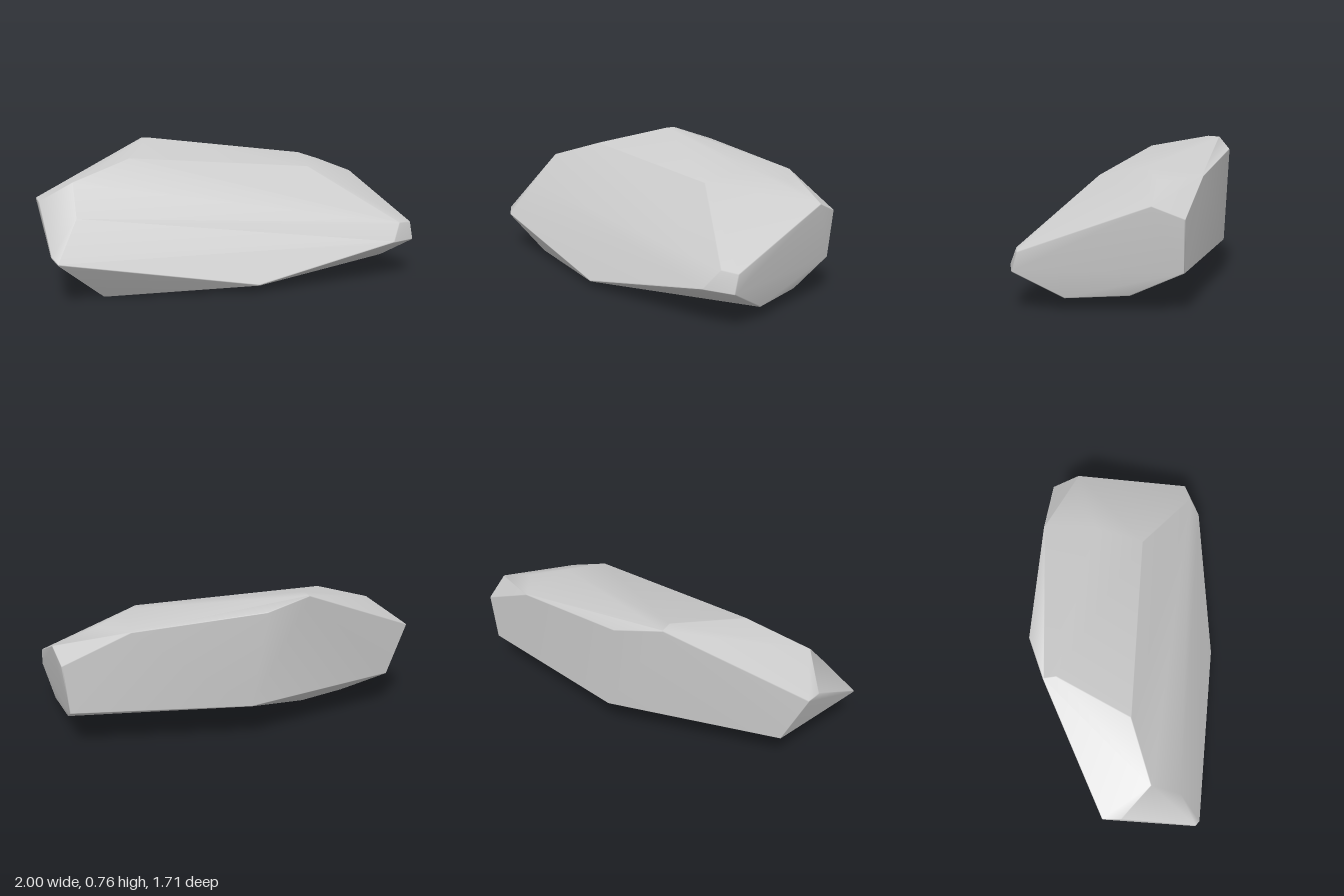
import * as THREE from 'three';
import { ConvexGeometry } from 'three/addons/geometries/ConvexGeometry.js';
import { mergeVertices } from 'three/addons/utils/BufferGeometryUtils.js';

// Corners of the boulder, grouped by region
const corners = [
  // top ridge and shoulders
  [-0.74, 0.575, 0.56], [-0.515, 0.68, 0.30], [-0.55, 0.76, -0.13], [-0.59, 0.755, -0.18],
  [0.31, 0.66, -0.44], [0.40, 0.605, -0.19], [0.41, 0.605, -0.63],
  // back wall
  [-0.43, 0.705, -0.38], [0.18, 0.625, -0.70], [0.49, 0.46, -0.855],
  [0.60, 0.52, -0.75], [0.47, 0.205, -0.837], [-0.36, 0.20, -0.405],
  // blunt tip on the +x side
  [0.905, 0.20, -0.09], [1.0, 0.20, -0.22], [0.985, 0.29, -0.24], [0.93, 0.295, -0.17],
  // blunt end on the -x side
  [-1.0, 0.47, 0.43], [-0.95, 0.46, 0.51], [-0.67, 0.41, 0.70],
  [-0.71, 0.205, 0.855], [-0.745, 0.24, 0.85], [-0.92, 0.20, 0.34],
  // underside
  [-0.55, 0.005, 0.65], [-0.64, 0.02, 0.45], [-0.47, 0.02, 0.20],
  [0.22, 0.04, 0.41], [0.82, 0.07, -0.39], [0.61, 0.085, -0.62],
];

const BEVEL = 0.006;
const centre = new THREE.Vector3(0, 0.36, 0);

// Each corner becomes a tiny ball of points, so the hull gets narrow bevels
function bevelPoints(corner) {
  const middle = new THREE.Vector3(...corner);
  middle.addScaledVector(centre.clone().sub(middle).normalize(), BEVEL);
  const ball = new THREE.IcosahedronGeometry(BEVEL, 0).attributes.position;
  return Array.from({ length: ball.count }, (_, i) =>
    new THREE.Vector3().fromBufferAttribute(ball, i).add(middle));
}

export function createModel() {
  const group = new THREE.Group();
  group.name = 'rock';

  // Shared vertices with area-weighted normals: flat facets, soft edges
  const hull = new ConvexGeometry(corners.flatMap(bevelPoints));
  hull.deleteAttribute('normal');
  const geometry = mergeVertices(hull, 1e-5);
  geometry.computeVertexNormals();

  const boulder = new THREE.Mesh(geometry, new THREE.MeshStandardMaterial({ color: 0xcccccc }));
  boulder.name = 'boulder';
  group.add(boulder);
  return group;
}
